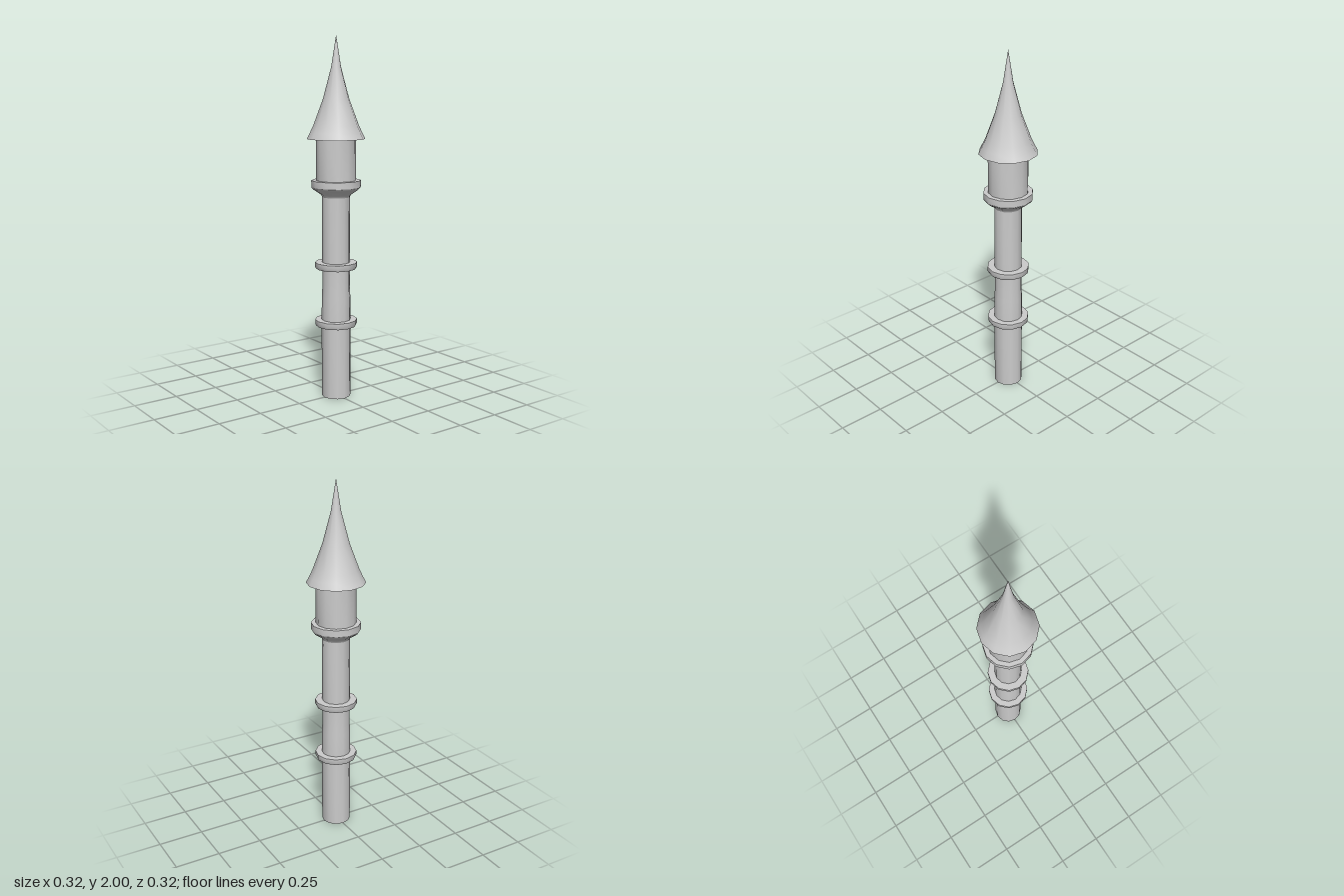
import * as THREE from 'three';
import { toCreasedNormals } from 'three/addons/utils/BufferGeometryUtils.js';

const SIDES = 12;

export function createModel() {
  const tower = new THREE.Group();
  tower.name = 'tower';
  const material = new THREE.MeshStandardMaterial({ color: 0xcccccc });

  // Turns a bottom-to-top profile of [radius, height] into a twelve-sided part
  function turned(name, profile) {
    const points = profile.map(([r, y]) => new THREE.Vector2(r, y));
    const geometry = toCreasedNormals(new THREE.LatheGeometry(points, SIDES), 0.7);
    const mesh = new THREE.Mesh(geometry, material);
    mesh.name = name;
    tower.add(mesh);
  }

  // Shaft, open at the foot and slightly narrower above the middle
  turned('shaft', [[0.081, 0], [0.081, 0.42], [0.08, 0.57], [0.077, 0.62], [0.077, 0.75], [0.077, 1.14]]);

  // Two flat bands around the shaft
  [['lowerBand', 0.405], ['upperBand', 0.73]].forEach(([name, y]) =>
    turned(name, [[0.077, y], [0.112, y + 0.002], [0.117, y + 0.012], [0.117, y + 0.037], [0.077, y + 0.037]]));

  // Flared corbel carrying the balcony ledge
  turned('corbel', [[0.077, 1.13], [0.082, 1.142], [0.13, 1.175], [0.136, 1.185]]);
  turned('balcony', [[0.136, 1.185], [0.136, 1.222], [0.108, 1.222]]);

  // Upper chamber
  turned('chamber', [[0.11, 1.2], [0.11, 1.45]]);

  // Concave spire roof with a flat underside
  turned('roof', [[0.1, 1.447], [0.16, 1.447], [0.142, 1.482], [0.124, 1.52], [0.072, 1.66], [0.027, 1.83], [0, 2]]);

  return tower;
}
